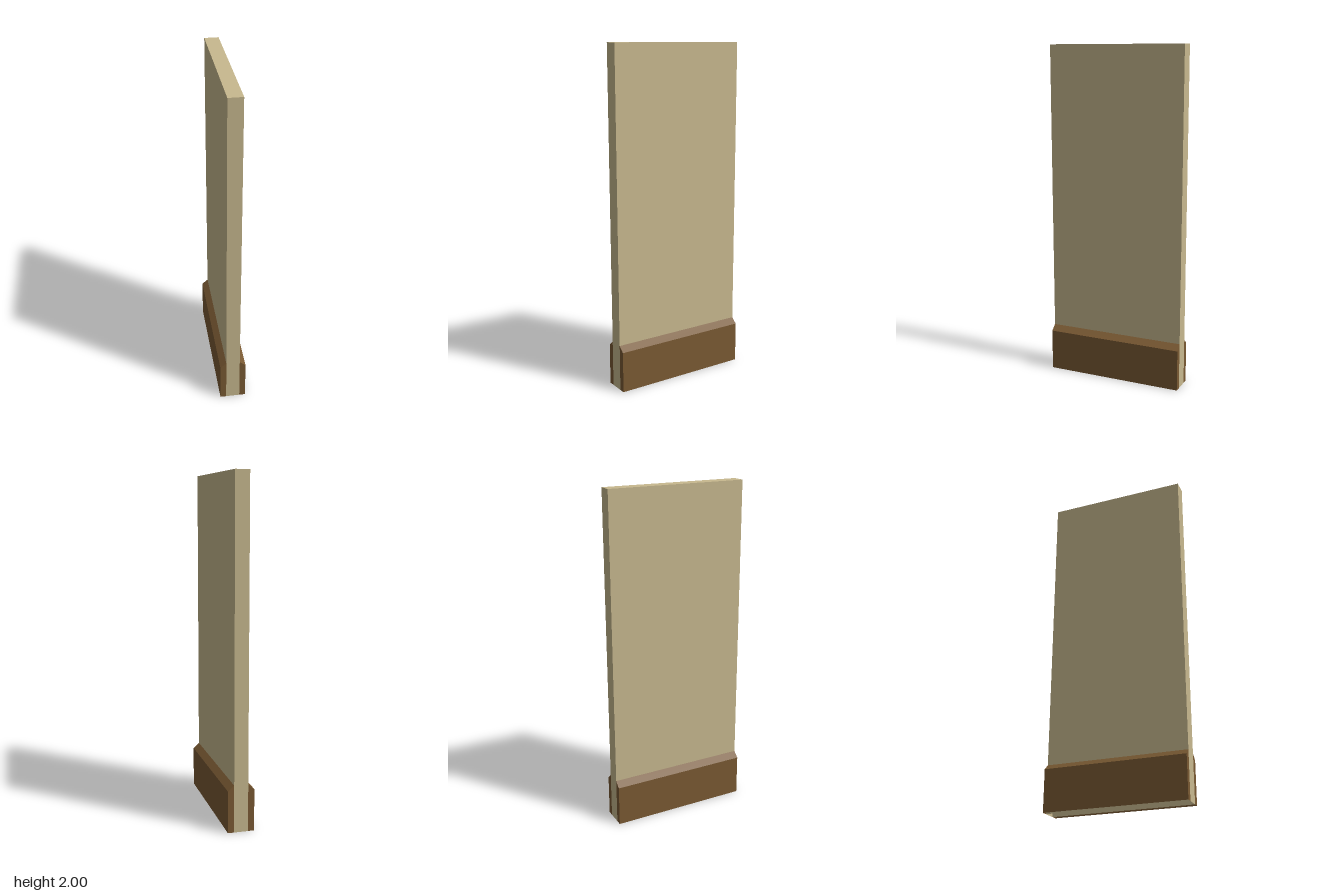
import * as THREE from 'three';

const HALF_DEPTH = 0.417;
const PANEL_HALF = 0.041;
const TRIM_HALF = 0.077;

const panelMaterial = new THREE.MeshStandardMaterial({ color: 0xc8b98f, side: THREE.DoubleSide });
panelMaterial.name = 'cream plaster';
const trimMaterial = new THREE.MeshStandardMaterial({ color: 0x7a5a33, side: THREE.DoubleSide });
trimMaterial.name = 'brown wood';

// Wall slab with an open underside
function panelGeometry() {
  const geometry = new THREE.BoxGeometry(PANEL_HALF * 2, 2, HALF_DEPTH * 2);
  geometry.translate(0, 1, 0);
  const index = Array.from(geometry.index.array);
  index.splice(18, 6); // the bottom face
  geometry.setIndex(index);
  geometry.clearGroups();
  return geometry;
}

// Skirting shell: outer face, sloped top and two end caps, open below and against the wall
function skirtingGeometry(side) {
  const profile = [
    [PANEL_HALF, 0], [TRIM_HALF, 0], [TRIM_HALF, 0.245], [PANEL_HALF, 0.277],
  ].map(([x, y]) => [x * side, y]);
  const positions = [];
  const at = (i, z) => [...profile[i], z * HALF_DEPTH];
  const quad = (a, b, c, d) => {
    const corners = side > 0 ? [a, b, c, a, c, d] : [a, c, b, a, d, c];
    corners.forEach((p) => positions.push(...p));
  };
  for (const i of [1, 2]) quad(at(i, 1), at(i, -1), at(i + 1, -1), at(i + 1, 1));
  quad(at(0, 1), at(1, 1), at(2, 1), at(3, 1));
  quad(at(1, -1), at(0, -1), at(3, -1), at(2, -1));
  const geometry = new THREE.BufferGeometry();
  geometry.setAttribute('position', new THREE.Float32BufferAttribute(positions, 3));
  geometry.computeVertexNormals();
  return geometry;
}

export function createModel() {
  const model = new THREE.Group();
  model.name = 'wallSection';

  const panel = new THREE.Mesh(panelGeometry(), panelMaterial);
  panel.name = 'wallPanel';
  model.add(panel);

  for (const side of [1, -1]) {
    const skirting = new THREE.Mesh(skirtingGeometry(side), trimMaterial);
    skirting.name = side > 0 ? 'leftSkirting' : 'rightSkirting';
    model.add(skirting);
  }
  return model;
}
